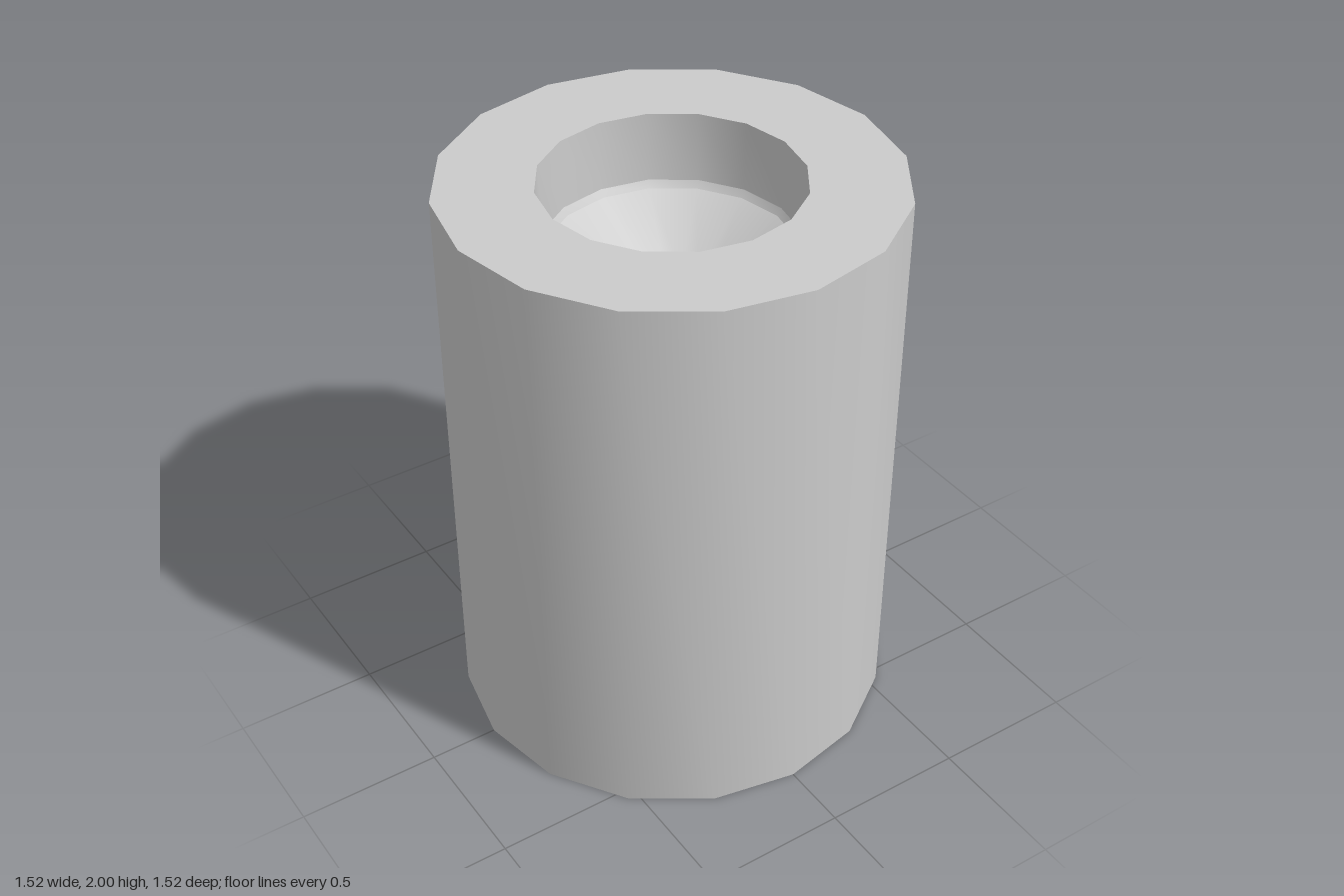
import * as THREE from 'three';
import { toCreasedNormals } from 'three/addons/utils/BufferGeometryUtils.js';

const SIDES = 16;

export function createModel() {
  const group = new THREE.Group();
  group.name = 'boredCylinder';
  const material = new THREE.MeshStandardMaterial({ color: 0xcccccc });

  // Revolve a profile of [radius, height] points, keeping its corners sharp
  const addTurned = (name, profile) => {
    const points = profile.map(([r, y]) => new THREE.Vector2(r, y));
    const geometry = toCreasedNormals(new THREE.LatheGeometry(points, SIDES), 0.45);
    const mesh = new THREE.Mesh(geometry, material);
    mesh.name = name;
    group.add(mesh);
  };

  // Closed base, outer wall and flat top rim
  addTurned('outerBody', [[0, 0], [0.76, 0], [0.76, 2], [0.435, 2]]);

  // Blind bore: straight wall, narrow chamfer, funnel and flat floor
  addTurned('bore', [
    [0.435, 2], [0.43, 1.755], [0.415, 1.73], [0.155, 1.57], [0, 1.57],
  ]);

  return group;
}
